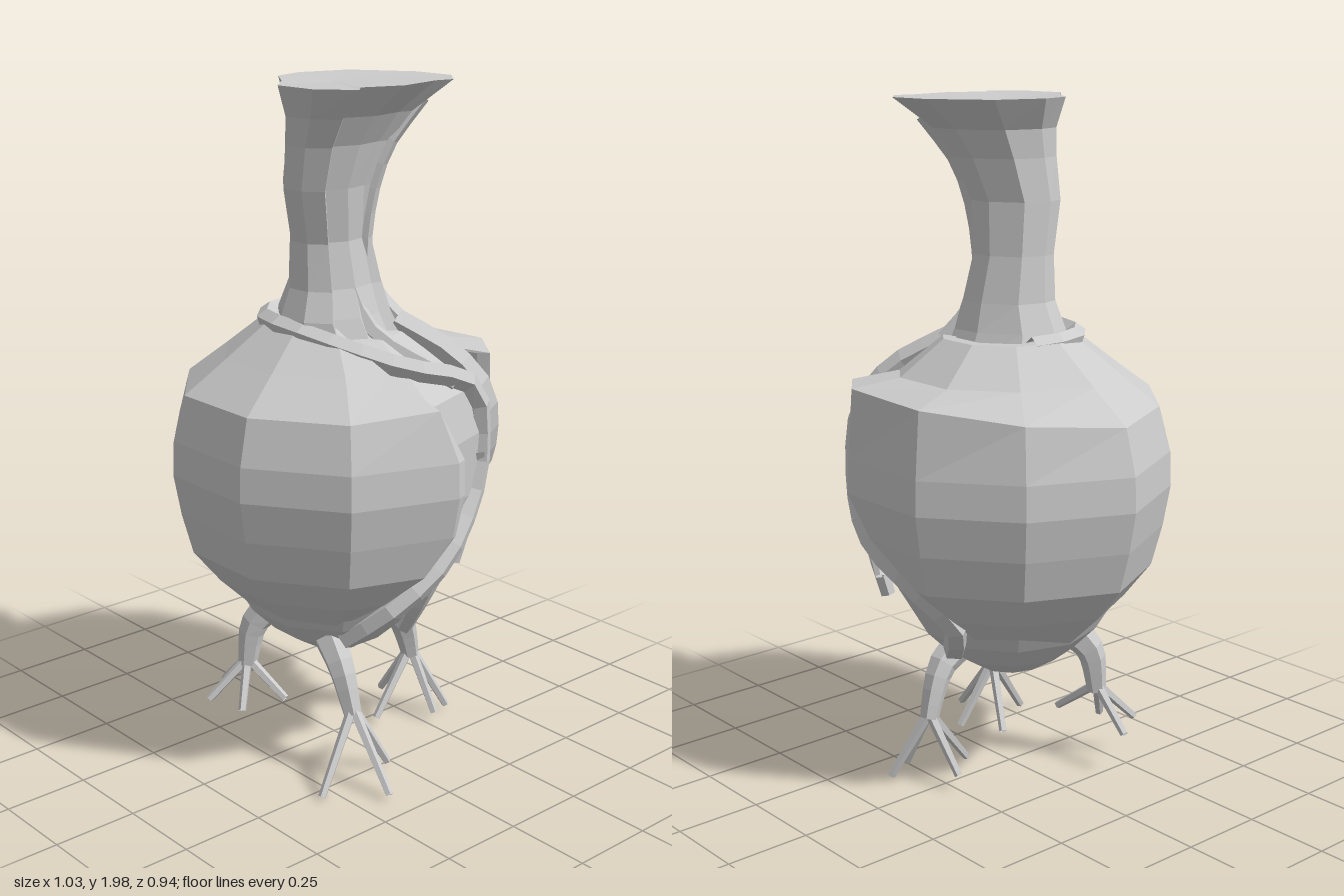
import * as THREE from 'three';

const material = new THREE.MeshStandardMaterial({ color: 0xcccccc, flatShading: true, side: THREE.DoubleSide });
const V = (x, y, z) => new THREE.Vector3(x, y, z);
const rad = THREE.MathUtils.degToRad;

// point on a round surface: angle in degrees from +x towards +z
const polar = (a, r, y) => V(r * Math.cos(rad(a)), y, r * Math.sin(rad(a)));

function part(name, geometry) {
  const mesh = new THREE.Mesh(geometry, material);
  mesh.name = name;
  return mesh;
}

// skin over rows of points, each row running around, rows going up
function skin(rows) {
  const w = rows[0].length;
  const index = [];
  for (let i = 0; i < rows.length - 1; i++) {
    for (let j = 0; j < w - 1; j++) {
      const a = i * w + j, b = a + w;
      index.push(a, b, a + 1, a + 1, b, b + 1);
    }
  }
  const g = new THREE.BufferGeometry().setFromPoints(rows.flat());
  g.setIndex(index);
  g.computeVertexNormals();
  return g;
}

// faceted tube along points, tapering from r0 to r1
function strand(name, points, r0, r1, steps = points.length * 2, sides = 5) {
  const curve = new THREE.CatmullRomCurve3(points);
  const g = new THREE.TubeGeometry(curve, steps, r0, sides);
  const pos = g.attributes.position;
  const v = V(0, 0, 0);
  for (let i = 0; i <= steps; i++) {
    const t = i / steps;
    const c = curve.getPointAt(t);
    const k = 1 + (r1 / r0 - 1) * t;
    for (let j = 0; j <= sides; j++) {
      const n = i * (sides + 1) + j;
      v.fromBufferAttribute(pos, n).sub(c).multiplyScalar(k).add(c);
      pos.setXYZ(n, v.x, v.y, v.z);
    }
  }
  g.computeVertexNormals();
  return part(name, g);
}

// broken ten-sided shell: y, radius, start angle and end angle of each row
function shell() {
  const profile = [
    [0.45, 0.25, 42, 238], [0.56, 0.365, 18, 248], [0.66, 0.447, 7, 258],
    [0.78, 0.48, -2, 280], [0.9, 0.502, -4, 296], [1.0, 0.498, -4, 302], [1.13, 0.462, 4, 307],
    [1.22, 0.338, 14, 307], [1.32, 0.205, 40, 306],
  ];
  // uneven corners of the decagon
  const corner = [1.025, 1, 0.985, 0.98, 0.94, 1.03, 0.96, 0.985, 0.985, 0.975];
  const row = ([y, r, a0, a1], inset) => {
    const angles = [a0];
    for (let k = 0; k < 10; k++) angles.push(THREE.MathUtils.clamp(k * 36, a0, a1));
    angles.push(a1);
    return angles.map((a) => {
      const turn = (a + 360) % 360 / 36;
      const k = Math.floor(turn);
      const uneven = THREE.MathUtils.lerp(corner[k], corner[(k + 1) % 10], turn - k);
      const flat = Math.cos(rad(18)) / Math.cos(rad((turn - k) * 36 - 18));
      // the back shoulder stands a little higher and fuller
      const lift = y === 1.13 ? 0.07 * Math.max(0, Math.cos(rad(a - 285))) : 0;
      return polar(a, (r - inset) * flat * uneven + lift * 0.3, y + lift);
    });
  };
  const outer = profile.map((p) => row(p, 0));
  const inner = profile.map((p) => row(p, 0.04));
  const group = new THREE.Group();
  group.name = 'shell';
  group.add(part('shellWall', skin([...outer, ...[...inner].reverse(), outer[0]])));
  // broken edges
  for (const j of [0, outer[0].length - 1]) {
    group.add(part('shellEdge', skin(outer.map((o, i) => [o[j], inner[i][j]]))));
  }
  return group;
}

// flaring trunk with an irregular outline and a flat cut top
function trunk() {
  const outline = [
    [0.28, 0], [0.24, 0.12], [0.28, 0.16], [0.19, 0.24], [0.06, 0.25], [-0.02, 0.17], [-0.12, 0.1],
    [-0.15, 0], [-0.11, -0.15], [0.05, -0.26], [0.18, -0.27], [0.26, -0.2], [0.25, -0.14], [0.28, 0],
  ];
  // y, centre x, centre z, half width, half depth
  const sections = [
    [1.26, 0, 0.02, 0.18, 0.18], [1.34, 0, 0.035, 0.15, 0.165], [1.42, 0.003, 0.03, 0.12, 0.14],
    [1.55, 0, 0.04, 0.105, 0.12], [1.7, 0.01, 0.06, 0.115, 0.135], [1.82, 0.03, 0.045, 0.125, 0.16],
    [1.9, 0.05, 0.03, 0.15, 0.19], [1.985, 0.065, 0, 0.215, 0.26],
  ];
  const rows = sections.map(([y, cx, cz, w, d]) =>
    outline.map(([x, z]) => V(cx + ((x - 0.065) / 0.215) * w, y, cz + (z / 0.26) * d)));
  rows.push(outline.map(() => V(0.02, 1.975, 0.02)));
  return part('trunk', skin(rows));
}

// bent leg ending in thin splayed toes
function leg(name, path, toes) {
  const group = new THREE.Group();
  group.name = name;
  group.add(strand('shank', path, 0.05, 0.028, 6, 6));
  const ankle = path[path.length - 1];
  for (const tip of toes) {
    const start = ankle.clone().add(V(0, 0.02, 0));
    group.add(strand('toe', [start, start.clone().lerp(tip, 0.5), tip], 0.016, 0.012, 2, 5));
  }
  return group;
}

export function createModel() {
  const model = new THREE.Group();
  model.name = 'rootedVase';

  // inner body seen through the gap and below the shell
  const core = [[0, 0.31], [0.1, 0.325], [0.19, 0.38], [0.26, 0.45], [0.36, 0.62], [0.42, 0.82],
    [0.43, 1.0], [0.4, 1.13], [0.2, 1.28], [0, 1.32]].map(([r, y]) => new THREE.Vector2(r, y));
  model.add(part('core', new THREE.LatheGeometry(core, 10, rad(18))));
  model.add(shell(), trunk());

  // strands twisting down the trunk
  model.add(strand('trunkStrand', [V(0.17, 1.94, -0.16), V(0.115, 1.8, -0.075), V(0.075, 1.6, -0.04),
    V(0.065, 1.42, -0.055), V(0.12, 1.3, -0.13)], 0.033, 0.035));
  model.add(strand('trunkStrand', [V(0.15, 1.94, 0.16), V(0.1, 1.8, 0.15), V(0.06, 1.65, 0.14),
    V(0.03, 1.52, 0.135)], 0.033, 0.015));
  model.add(strand('trunkStrand', [V(0.08, 1.56, 0.05), V(0.1, 1.42, 0.03), V(0.16, 1.3, 0),
    polar(-25, 0.37, 1.16)], 0.02, 0.03));

  // roots wrapping the core: angle, radius, y
  const roots = [
    ['frontRoot', 0.03, 0.034, [[200, 0.17, 1.31], [160, 0.185, 1.315], [120, 0.195, 1.315],
      [70, 0.2, 1.31], [5, 0.29, 1.23], [-32, 0.405, 1.14], [-38, 0.425, 0.96], [-35, 0.415, 0.83],
      [-15, 0.375, 0.65], [9, 0.31, 0.52], [33, 0.22, 0.41]]],
    ['backRoot', 0.042, 0.036, [[-45, 0.17, 1.3], [-42, 0.33, 1.21], [-44, 0.42, 1.1], [-56, 0.435, 0.88],
      [-74, 0.425, 0.76], [-96, 0.39, 0.66], [-110, 0.32, 0.54], [-98, 0.24, 0.44], [-80, 0.19, 0.4]]],
    ['twig', 0.032, 0.022, [[-36, 0.415, 0.95], [-42, 0.415, 0.84], [-54, 0.4, 0.71], [-55, 0.36, 0.55]]],
    ['twig', 0.024, 0.014, [[-53, 0.4, 0.74], [-62, 0.4, 0.71], [-70, 0.4, 0.64]]],
    ['twig', 0.034, 0.024, [[-14, 0.36, 0.64], [-13, 0.3, 0.51], [-26, 0.225, 0.39]]],
  ];
  for (const [name, r0, r1, path] of roots) {
    model.add(strand(name, path.map((p) => polar(...p)), r0, r1));
  }

  // three legs
  model.add(leg('frontLeftLeg', [V(0.13, 0.4, 0.13), V(0.19, 0.33, 0.14), V(0.24, 0.2, 0.14)],
    [V(0.11, 0.04, 0.07), V(0.29, 0.01, 0.3), V(0.42, 0.02, 0.16), V(0.27, 0.02, 0.03)]));
  model.add(leg('backLeg', [V(0.06, 0.4, -0.14), V(0.06, 0.35, -0.21), V(0.055, 0.28, -0.245),
    V(0.05, 0.2, -0.27)],
    [V(-0.06, 0.05, -0.25), V(0.06, 0.03, -0.12), V(0.15, 0.03, -0.28), V(0.12, 0.02, -0.36)]));
  model.add(leg('frontRightLeg', [V(-0.13, 0.42, 0.14), V(-0.16, 0.36, 0.18), V(-0.17, 0.23, 0.2)],
    [V(-0.3, 0.13, 0.19), V(-0.22, 0.13, 0.31), V(-0.11, 0.12, 0.27), V(-0.04, 0.15, 0.16)]));

  return model;
}
